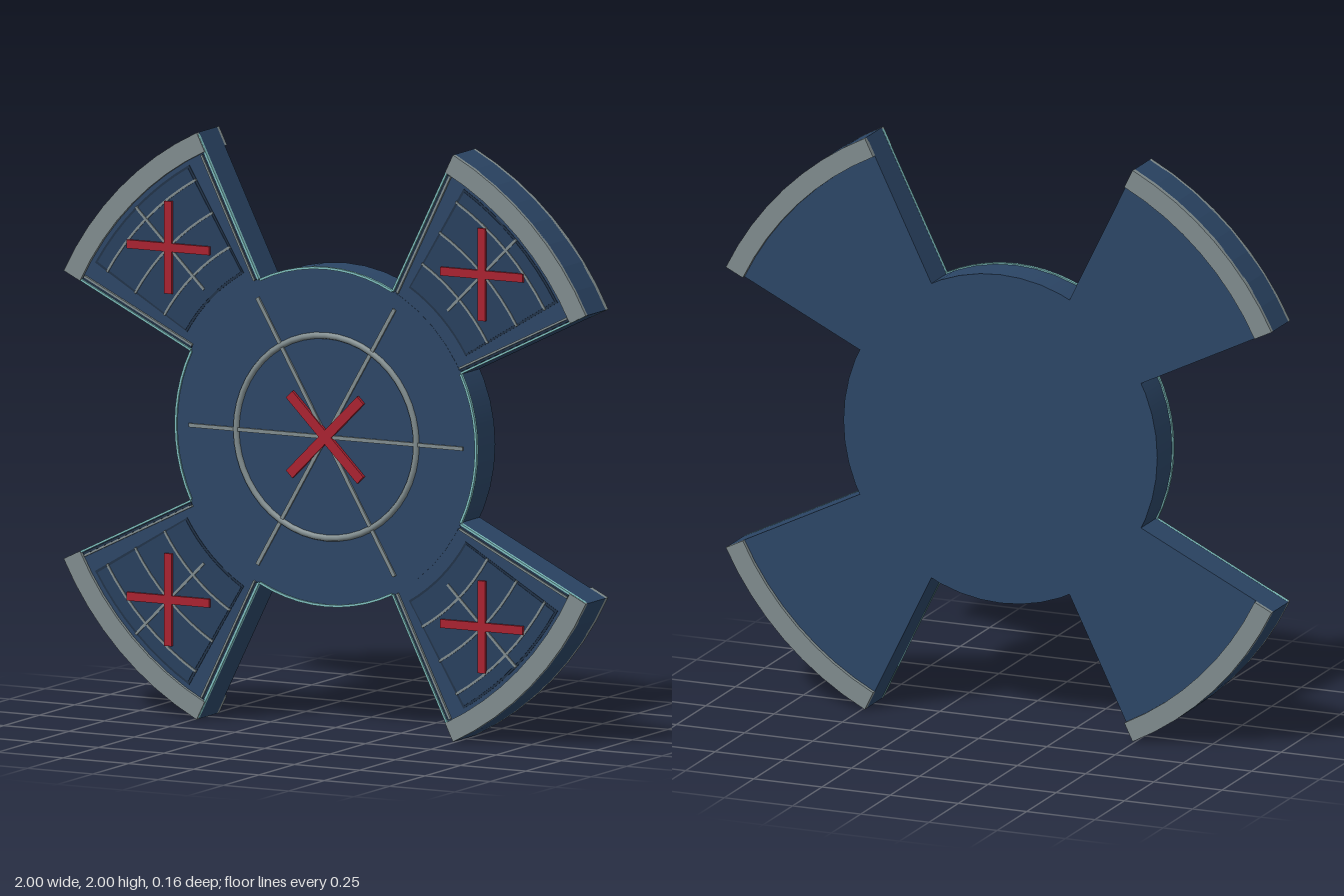
import * as THREE from 'three';

const mat = (color) => new THREE.MeshStandardMaterial({ color });
const hullMat = mat(0x2b4565);
const panelMat = mat(0x263e5c);
const frameMat = mat(0x1f3147);
const greyMat = mat(0x7f8b8d);
const redMat = mat(0xa8202e);
const trimMat = mat(0x7cbcbc);

const FRONT = 0.066, BACK = -0.066;
const HUB_R = 0.575, ARM_R = 1.114, ARM_HALF = 0.329;

function add(parent, name, geometry, material) {
  const mesh = new THREE.Mesh(geometry, material);
  mesh.name = name;
  parent.add(mesh);
  return mesh;
}

// Annular sector centred on +x, from z0 to z1
function sector(r0, r1, half, z0, z1, segments = 8) {
  const points = [];
  for (let i = 0; i <= segments; i++) {
    const a = -half + (2 * half * i) / segments;
    points.push(new THREE.Vector2(r1 * Math.cos(a), r1 * Math.sin(a)));
  }
  for (let i = segments; i >= 0; i--) {
    const a = -half + (2 * half * i) / segments;
    points.push(new THREE.Vector2(r0 * Math.cos(a), r0 * Math.sin(a)));
  }
  const geometry = new THREE.ExtrudeGeometry(new THREE.Shape(points), { depth: z1 - z0, bevelEnabled: false });
  return geometry.translate(0, 0, z0);
}

// Straight strip on the front face, centred at (x, y) and turned by angle
function strip(parent, name, x, y, length, width, angle, z0, z1, material) {
  const mesh = add(parent, name, new THREE.BoxGeometry(length, width, z1 - z0), material);
  mesh.position.set(x, y, (z0 + z1) / 2);
  mesh.rotation.z = angle;
}

function createHub() {
  const hub = new THREE.Group();
  hub.name = 'hub';
  const disc = new THREE.CylinderGeometry(HUB_R, HUB_R, FRONT - BACK, 48).rotateX(Math.PI / 2);
  add(hub, 'hubDisc', disc, hullMat);

  const ring = add(hub, 'hubRing', new THREE.TorusGeometry(0.345, 0.011, 8, 48), greyMat);
  ring.position.z = FRONT;
  for (let i = 0; i < 3; i++) {
    strip(hub, 'hubSpoke', 0, 0, 1.05, 0.013, (i * Math.PI) / 3, FRONT - 0.005, FRONT + 0.007, greyMat);
  }
  for (const s of [-1, 1]) {
    strip(hub, 'hubCross', 0, 0, 0.385, 0.034, (s * Math.PI) / 4, FRONT, FRONT + 0.013, redMat);
  }
  // Light edging on the open arcs between the arms
  for (let i = 0; i < 4; i++) {
    const edge = add(hub, 'hubEdging', sector(HUB_R - 0.004, HUB_R + 0.004, Math.PI / 4 - ARM_HALF, FRONT - 0.006, FRONT + 0.006, 10), trimMat);
    edge.rotation.z = (i * Math.PI) / 2;
  }
  return hub;
}

function createArm(angle) {
  const arm = new THREE.Group();
  arm.name = 'arm';
  arm.rotation.z = angle;
  add(arm, 'armBody', sector(0.5, ARM_R, ARM_HALF, BACK, FRONT - 0.001), hullMat);

  // Outer rims on both faces
  add(arm, 'frontRim', sector(1.045, ARM_R, ARM_HALF, FRONT - 0.004, FRONT + 0.012), greyMat);
  add(arm, 'backRim', sector(1.045, ARM_R, ARM_HALF, BACK - 0.015, BACK + 0.004), greyMat);

  // Stepped face panel
  add(arm, 'panelFrame', sector(0.62, 1.03, 0.25, FRONT - 0.004, FRONT + 0.001), frameMat);
  add(arm, 'panel', sector(0.628, 1.022, 0.241, FRONT - 0.004, FRONT + 0.003), panelMat);

  // Fine grid on the panel
  for (const r of [0.72, 0.85, 0.975]) {
    add(arm, 'gridArc', sector(r - 0.004, r + 0.004, 0.25, FRONT, FRONT + 0.006), greyMat);
  }
  strip(arm, 'gridLine', 0.845, 0, 0.37, 0.009, 0, FRONT, FRONT + 0.007, greyMat);

  // Light edging and an inner rail along both sides
  for (const s of [-1, 1]) {
    const a = s * ARM_HALF, c = Math.cos(a), n = Math.sin(a);
    const side = (name, r, length, inset, width, top, material) =>
      strip(arm, name, r * c + Math.abs(n) * inset, r * n - s * c * inset, length, width, a, FRONT - 0.005, top, material);
    side('sideEdging', 0.842, 0.53, 0.003, 0.007, FRONT + 0.008, trimMat);
    side('sideRail', 0.81, 0.46, 0.02, 0.007, FRONT + 0.008, greyMat);
    side('sideGroove', 0.81, 0.46, 0.012, 0.008, FRONT + 0.004, frameMat);
  }

  // Upright red cross
  for (const turn of [0, Math.PI / 2]) {
    strip(arm, 'armCross', 0.849, 0, 0.315, 0.029, turn - angle, FRONT, FRONT + 0.013, redMat);
  }
  return arm;
}

export function createModel() {
  const model = new THREE.Group();
  model.name = 'fourArmedStation';
  model.add(createHub());
  for (let i = 0; i < 4; i++) model.add(createArm(Math.PI / 4 + (i * Math.PI) / 2));
  model.position.y = 1;
  const root = new THREE.Group();
  root.add(model);
  return root;
}
